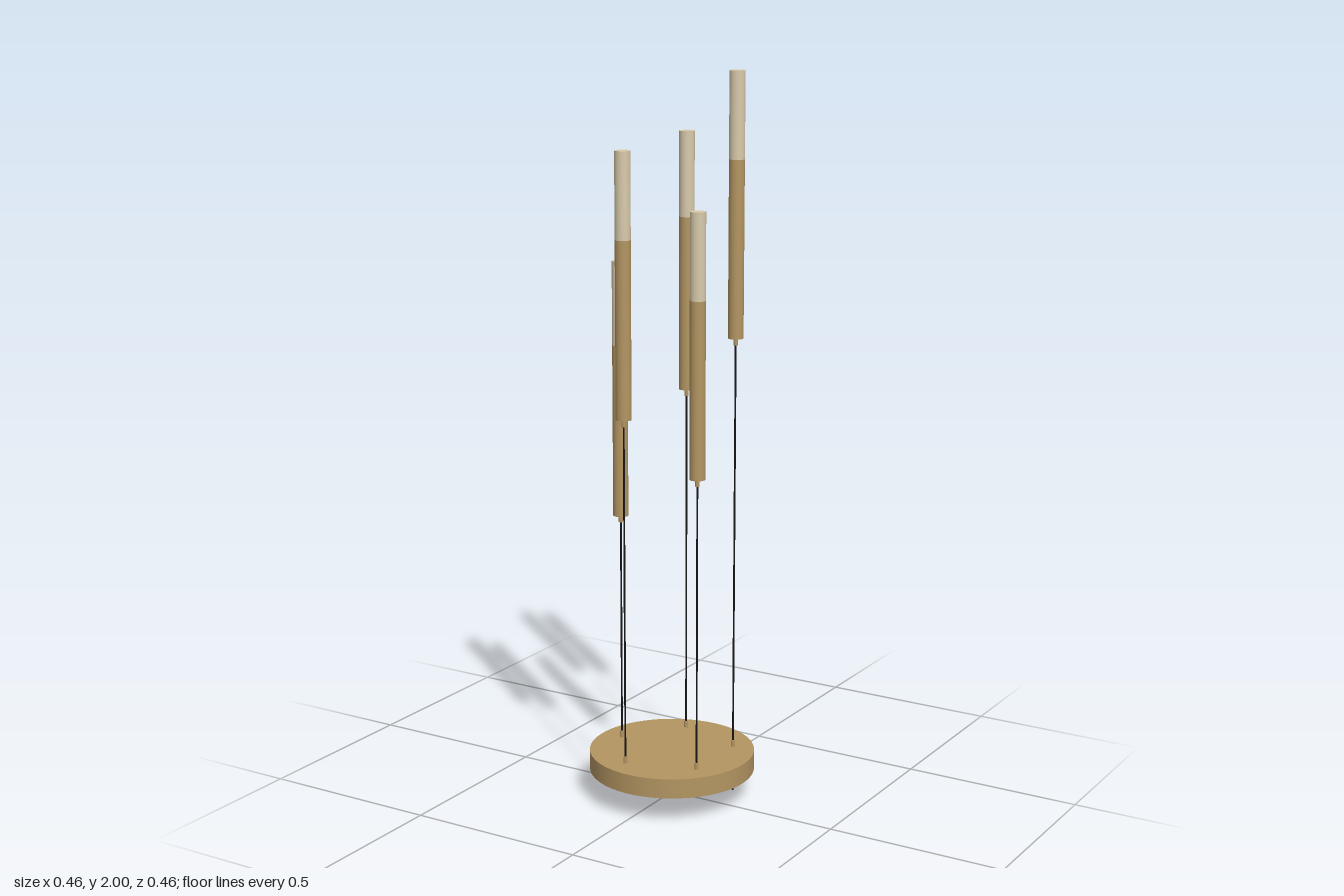
import * as THREE from 'three';

const brass = new THREE.MeshStandardMaterial({ color: 0xb39562 });
const brassShell = new THREE.MeshStandardMaterial({ color: 0xb39562, side: THREE.DoubleSide });
const glass = new THREE.MeshStandardMaterial({ color: 0xd8caab });
const black = new THREE.MeshStandardMaterial({ color: 0x151515 });

const BASE_TOP = 0.13, BASE_BOTTOM = 0.075, BASE_RADIUS = 0.229;
const TUBE_RADIUS = 0.021, BRASS_LENGTH = 0.478, GLASS_LENGTH = 0.231;

// Upright cylinder spanning y0..y1
function rod(name, radius, y0, y1, material, segments = 32) {
  const geometry = new THREE.CylinderGeometry(radius, radius, y1 - y0, segments);
  const mesh = new THREE.Mesh(geometry, material);
  mesh.name = name;
  mesh.position.y = (y0 + y1) / 2;
  return mesh;
}

// Lamp tube on its cable, with a ferrule at each end of the cable
function createPendant(x, z, bottom, cableStart) {
  const pendant = new THREE.Group();
  pendant.name = 'pendant';
  pendant.position.set(x, 0, z);
  const joint = bottom + BRASS_LENGTH;
  pendant.add(
    rod('cable', 0.0025, cableStart, bottom, black, 12),
    rod('baseFerrule', 0.006, BASE_TOP, BASE_TOP + 0.019, brass, 16),
    rod('tubeFerrule', 0.006, bottom - 0.019, bottom, brass, 16),
    rod('brassTube', TUBE_RADIUS, bottom, joint, brass),
    rod('glassTube', TUBE_RADIUS, joint, joint + GLASS_LENGTH, glass)
  );
  return pendant;
}

// Shallow round canopy, open underneath
function createCanopy() {
  const canopy = new THREE.Group();
  canopy.name = 'canopy';
  const height = BASE_TOP - BASE_BOTTOM;
  const rim = new THREE.Mesh(
    new THREE.CylinderGeometry(BASE_RADIUS, BASE_RADIUS, height, 96, 1, true), brassShell);
  rim.name = 'canopyRim';
  rim.position.y = (BASE_TOP + BASE_BOTTOM) / 2;
  const plate = new THREE.Mesh(new THREE.CircleGeometry(BASE_RADIUS, 96), brassShell);
  plate.name = 'canopyPlate';
  plate.rotation.x = -Math.PI / 2;
  plate.position.y = BASE_TOP;
  canopy.add(rim, plate);
  return canopy;
}

export function createModel() {
  const model = new THREE.Group();
  model.name = 'pendantCluster';
  model.add(createCanopy());

  // x, z, tube bottom, cable start (one cable runs on through the canopy)
  const pendants = [
    [-0.166, -0.001, 0.78, BASE_TOP],
    [-0.052, 0.16, 1.096, BASE_TOP],
    [-0.051, -0.161, 1.12, BASE_TOP],
    [0.138, 0.098, 0.945, BASE_TOP],
    [0.138, -0.101, 1.291, 0],
  ];
  for (const p of pendants) model.add(createPendant(...p));
  return model;
}
